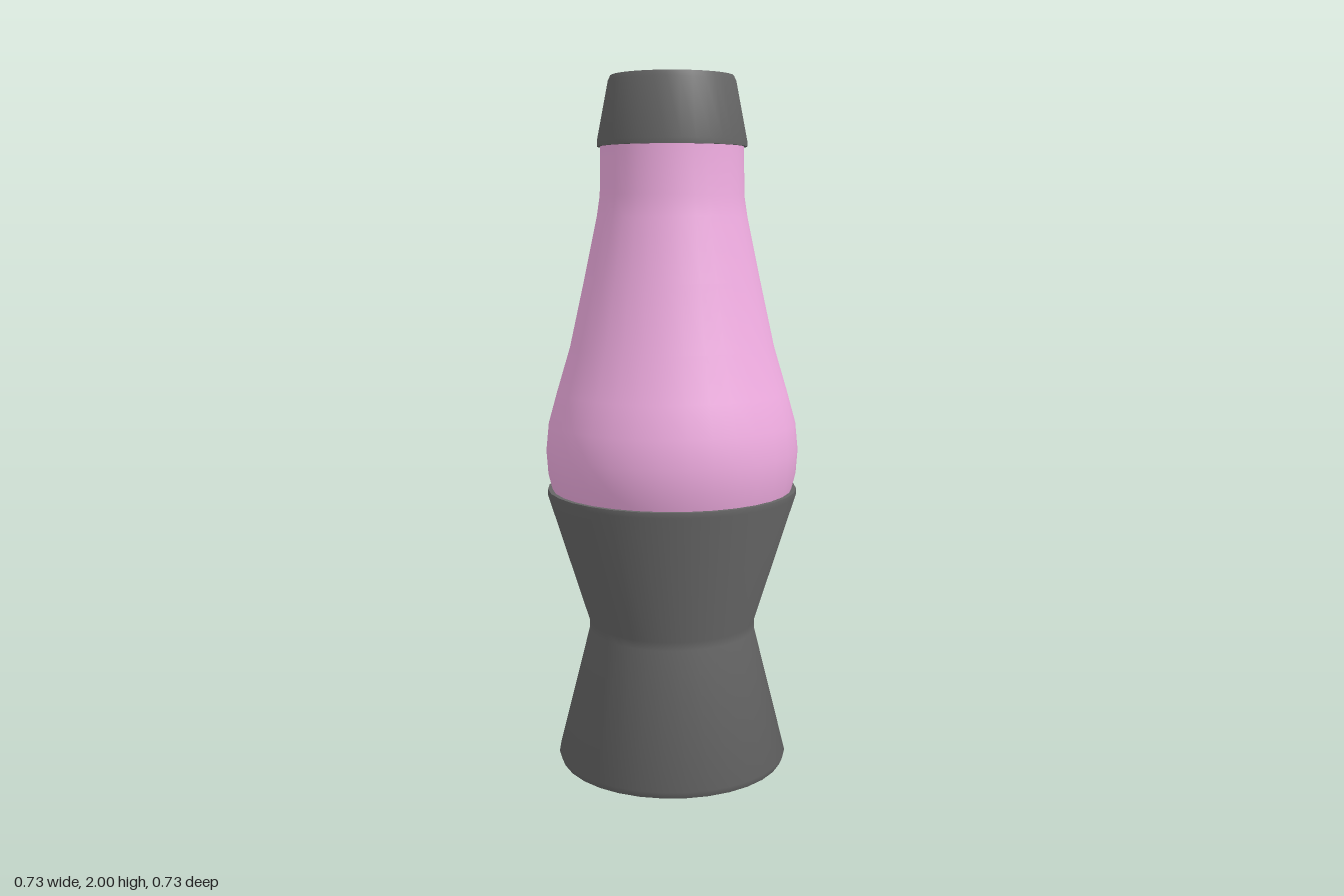
import * as THREE from 'three';
import { toCreasedNormals } from 'three/addons/utils/BufferGeometryUtils.js';

const SEGMENTS = 32;

// Revolve a [radius, height] profile, listed from bottom to top
function turned(name, profile, color) {
  const points = profile.map(([r, y]) => new THREE.Vector2(r, y));
  const geometry = toCreasedNormals(new THREE.LatheGeometry(points, SEGMENTS), 0.7);
  const mesh = new THREE.Mesh(geometry, new THREE.MeshStandardMaterial({ color }));
  mesh.name = name;
  return mesh;
}

export function createModel() {
  const group = new THREE.Group();
  group.name = 'lavaLamp';
  const metal = 0x666666;
  const pink = 0xf2aee3;

  // Hourglass stand with a closed foot and a flat rim
  group.add(turned('base', [
    [0, 0], [0.332, 0], [0.34, 0.02], [0.245, 0.4], [0.245, 0.425],
    [0.365, 0.81], [0.364, 0.825], [0, 0.825],
  ], metal));

  // Tapered glass bottle, widest just above the stand
  group.add(turned('glass', [
    [0.35, 0.822], [0.362, 0.87], [0.367, 0.94], [0.359, 1.02], [0.334, 1.11],
    [0.295, 1.24], [0.253, 1.43], [0.215, 1.61], [0.206, 1.67], [0.204, 1.81],
  ], pink));

  // Tapered cap with a closed underside
  group.add(turned('cap', [
    [0, 1.805], [0.213, 1.805], [0.213, 1.82], [0.181, 1.985], [0.174, 2], [0, 2],
  ], metal));

  return group;
}
